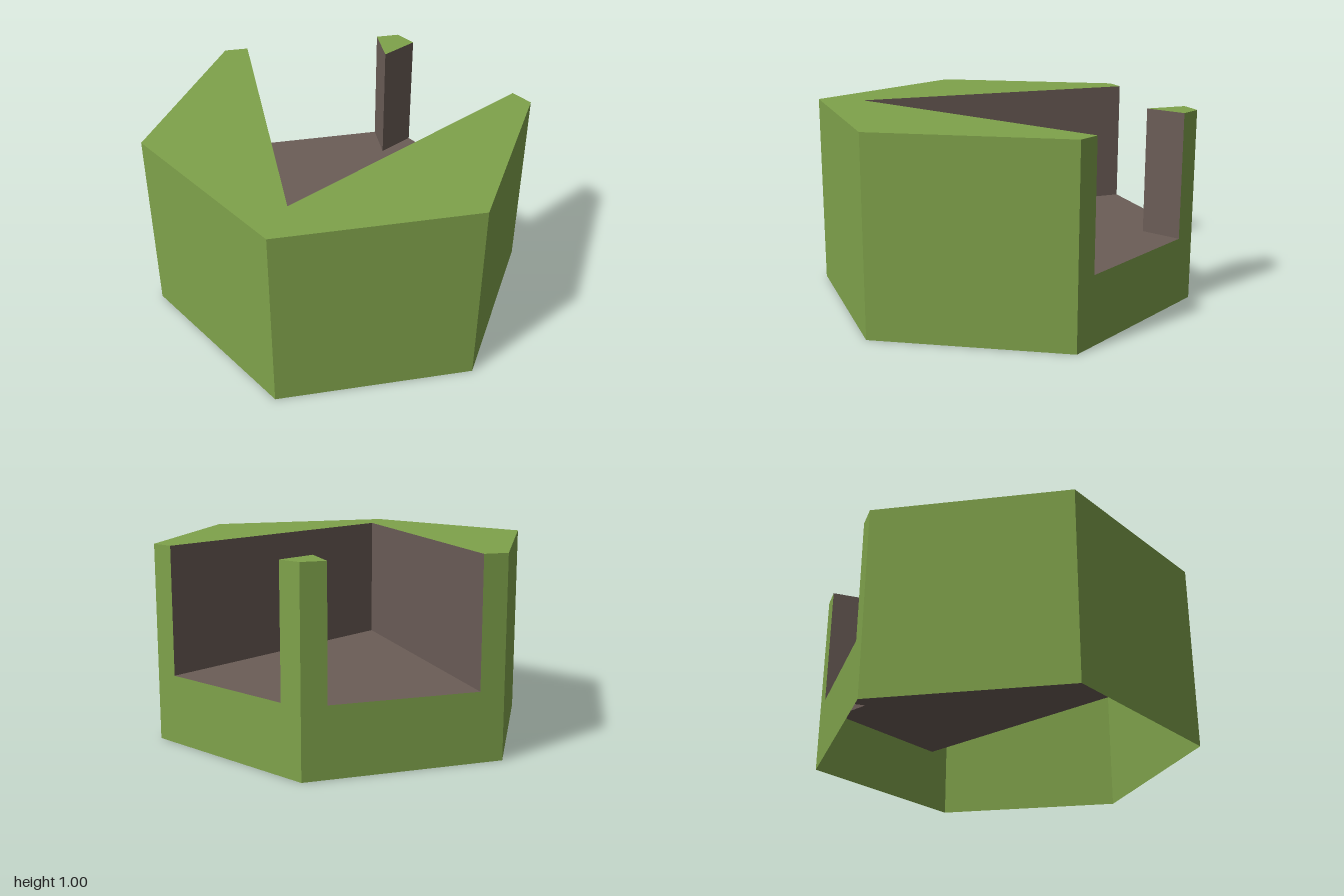
import * as THREE from 'three';

const H = 1, BED = 0.35, HALF = 0.375; // tile height, channel floor, half channel width

export function createModel() {
  const group = new THREE.Group();
  const grass = new THREE.MeshStandardMaterial({ color: 0x7fa24b, side: THREE.DoubleSide });
  grass.name = 'grass green';
  const earth = new THREE.MeshStandardMaterial({ color: 0x6b5d57, side: THREE.DoubleSide });
  earth.name = 'earth brown';

  const add = (name, geometry, material) => {
    const mesh = new THREE.Mesh(geometry, material);
    mesh.name = name;
    group.add(mesh);
    return mesh;
  };
  const flat = (pts) => new THREE.ShapeGeometry(new THREE.Shape(pts.map(([a, b]) => new THREE.Vector2(a, b))));

  // Horizontal polygon from [x, z] corners
  const slab = (name, pts, y, material) => {
    const geometry = flat(pts.map(([x, z]) => [x, -z]));
    geometry.rotateX(-Math.PI / 2);
    add(name, geometry, material).position.y = y;
  };

  // Upright panel from p to q; outline is [distance along, height]
  const panel = (name, p, q, material, outline) => {
    const dx = q[0] - p[0], dz = q[1] - p[1], len = Math.hypot(dx, dz);
    const mesh = add(name, flat(outline(len)), material);
    mesh.position.set(p[0], 0, p[1]);
    mesh.rotation.y = Math.atan2(-dz, dx);
  };
  const rect = (y0) => (len) => [[0, y0], [len, y0], [len, H], [0, H]];
  const notched = (len) => {
    const a = len / 2 - HALF, b = len / 2 + HALF;
    return [[0, 0], [len, 0], [len, H], [b, H], [b, BED], [a, BED], [a, H], [0, H]];
  };

  // Hexagon corners, starting at the front point
  const hex = Array.from({ length: 6 }, (_, k) => [Math.sin(k * Math.PI / 3), Math.cos(k * Math.PI / 3)]);
  const along = (k, d) => [0, 1].map((i) => hex[k][i] + (hex[k + 1][i] - hex[k][i]) * (0.5 + d));

  // Channel mouths on sides 1 and 2, and the two bends
  const mouthA = along(1, -HALF), mouthB = along(1, HALF);
  const mouthC = along(2, -HALF), mouthD = along(2, HALF);
  const innerBend = [HALF * Math.sqrt(3), -HALF], outerBend = [-HALF * Math.sqrt(3), HALF];

  // Outer walls (the underside is open)
  hex.forEach((p, k) => {
    const open = k === 1 || k === 2;
    panel(open ? 'notchedWall' : 'outerWall', p, hex[(k + 1) % 6], grass, open ? notched : rect(0));
  });

  // Grass tops
  slab('mainTop', [mouthA, hex[1], hex[0], hex[5], hex[4], hex[3], mouthD, outerBend], H, grass);
  slab('postTop', [mouthB, hex[2], mouthC, innerBend], H, grass);

  // Channel floor and banks
  slab('channelFloor', [mouthA, mouthB, innerBend, mouthC, mouthD, outerBend], BED, earth);
  [[mouthA, outerBend], [outerBend, mouthD], [mouthC, innerBend], [innerBend, mouthB]]
    .forEach(([p, q]) => panel('channelBank', p, q, earth, rect(BED)));

  return group;
}
